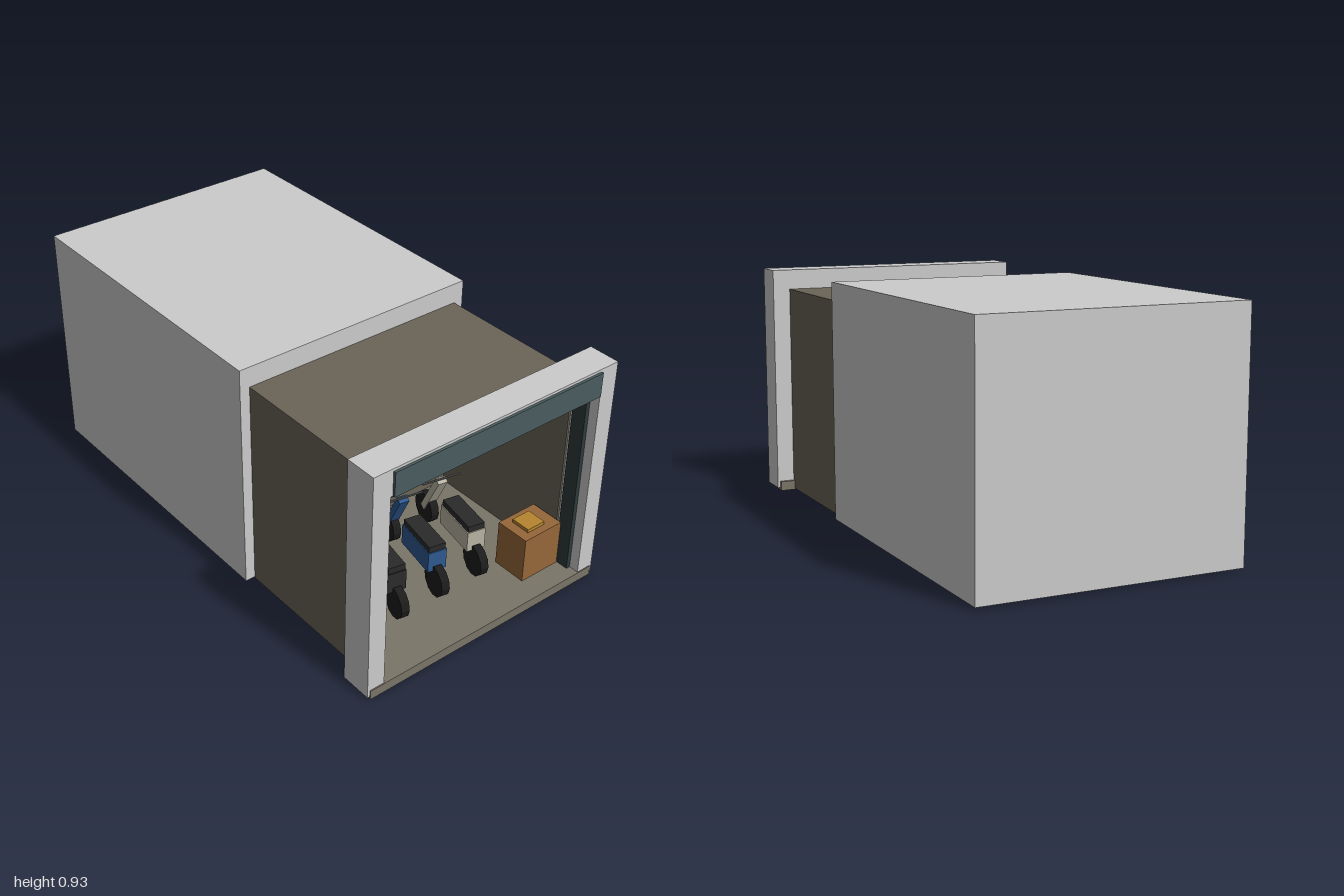
import * as THREE from 'three';

const mat = (color) => new THREE.MeshStandardMaterial({ color, flatShading: true });
const M = {
  grey: mat(0xcccccc), wall: mat(0x6b6558), floor: mat(0x7a7567),
  shutter: mat(0x4a5c5e), rail: mat(0x2f3a3a), dark: mat(0x1c1c1c),
  seat: mat(0x2a2a2a), metal: mat(0x666a68), crate: mat(0x96673a), lid: mat(0xb5852f),
};

// Box given by its minimum and maximum on each axis
function box(parent, name, material, [x0, x1], [y0, y1], [z0, z1]) {
  const mesh = new THREE.Mesh(new THREE.BoxGeometry(x1 - x0, y1 - y0, z1 - z0), material);
  mesh.position.set((x0 + x1) / 2, (y0 + y1) / 2, (z0 + z1) / 2);
  mesh.name = name;
  parent.add(mesh);
  return mesh;
}

// Parked motorbike: its front wheel points to -z before it is turned
function motorbike(color) {
  const bike = new THREE.Group();
  bike.name = 'motorbike';
  const paint = mat(color);

  // wheels
  for (const [name, z] of [['rearWheel', 0.178], ['frontWheel', -0.178]]) {
    const wheel = new THREE.Mesh(new THREE.CylinderGeometry(0.063, 0.063, 0.032, 12), M.dark);
    wheel.rotation.z = Math.PI / 2;
    wheel.position.set(0, 0.103, z);
    wheel.name = name;
    bike.add(wheel);
  }

  // body and seat
  box(bike, 'body', paint, [-0.0375, 0.0375], [0.145, 0.23], [-0.02, 0.172]);
  box(bike, 'seat', M.seat, [-0.034, 0.034], [0.23, 0.255], [-0.015, 0.168]);

  // raked front fork
  const fork = box(bike, 'fork', paint, [-0.02, 0.02], [0.09, 0.3], [-0.147, -0.119]);
  fork.rotation.x = 0.48;

  // handlebar
  const bar = new THREE.Mesh(new THREE.CylinderGeometry(0.004, 0.004, 0.163, 8), M.metal);
  bar.rotation.z = Math.PI / 2;
  bar.position.set(0, 0.294, -0.085);
  bar.name = 'handlebar';
  bike.add(bar);
  return bike;
}

export function createModel() {
  const model = new THREE.Group();
  model.name = 'garage';

  // rear building block
  box(model, 'rearBlock', M.grey, [-0.51, 0.51], [0.01, 0.93], [-1, 0.25]);

  // garage room
  const room = new THREE.Group();
  room.name = 'room';
  model.add(room);
  box(room, 'roomFloor', M.floor, [-0.469, 0.469], [0.004, 0.038], [0.25, 0.86]);
  box(room, 'backWall', M.wall, [-0.46, 0.46], [0.038, 0.84], [0.25, 0.26]);
  box(room, 'ceiling', M.wall, [-0.47, 0.47], [0.838, 0.85], [0.25, 0.87]);

  // front frame and sill
  const frame = new THREE.Group();
  frame.name = 'frontFrame';
  model.add(frame);
  box(frame, 'lintel', M.grey, [-0.54, 0.54], [0.825, 0.93], [0.865, 0.99]);
  box(frame, 'sill', M.floor, [-0.53, 0.53], [0, 0.038], [0.85, 0.994]);

  // mirrored walls, pillars and shutter rails
  for (const s of [-1, 1]) {
    const span = (a, b) => (s > 0 ? [a, b] : [-b, -a]);
    box(room, 'sideWall', M.wall, span(0.46, 0.47), [0.004, 0.84], [0.25, 0.87]);
    box(frame, 'pillar', M.grey, span(0.468, 0.54), [0.01, 0.825], [0.865, 0.99]);
    box(frame, 'guideRail', M.rail, span(0.451, 0.468), [0.038, 0.825], [0.89, 0.95]);
  }

  // roller shutter: housing and the slats left hanging below it
  const shutter = new THREE.Group();
  shutter.name = 'rollerShutter';
  model.add(shutter);
  box(shutter, 'shutterHousing', M.shutter, [-0.46, 0.46], [0.825, 0.92], [0.975, 1]);
  for (const [y, h] of [[0.785, 0.012], [0.797, 0.016], [0.813, 0.012]]) {
    box(shutter, 'shutterSlat', M.shutter, [-0.451, 0.451], [y + 0.001, y + h - 0.001], [0.915, 0.935]);
  }
  box(shutter, 'shutterBacking', M.rail, [-0.451, 0.451], [0.785, 0.825], [0.917, 0.93]);
  box(shutter, 'shutterBottomBar', M.rail, [-0.451, 0.451], [0.77, 0.785], [0.91, 0.94]);

  // row of motorbikes, each turned a little
  [0xad382d, 0x2b2b2b, 0x2f5a90, 0xbab5a4].forEach((color, i) => {
    const bike = motorbike(color);
    bike.position.set(-0.368 + 0.19 * i, 0, 0.583);
    bike.rotation.y = -0.2;
    model.add(bike);
  });

  // storage crate
  box(model, 'crate', M.crate, [0.27, 0.449], [0.038, 0.225], [0.76, 0.9]);
  box(model, 'crateTopBox', M.lid, [0.31, 0.392], [0.225, 0.239], [0.79, 0.87]);

  return model;
}
